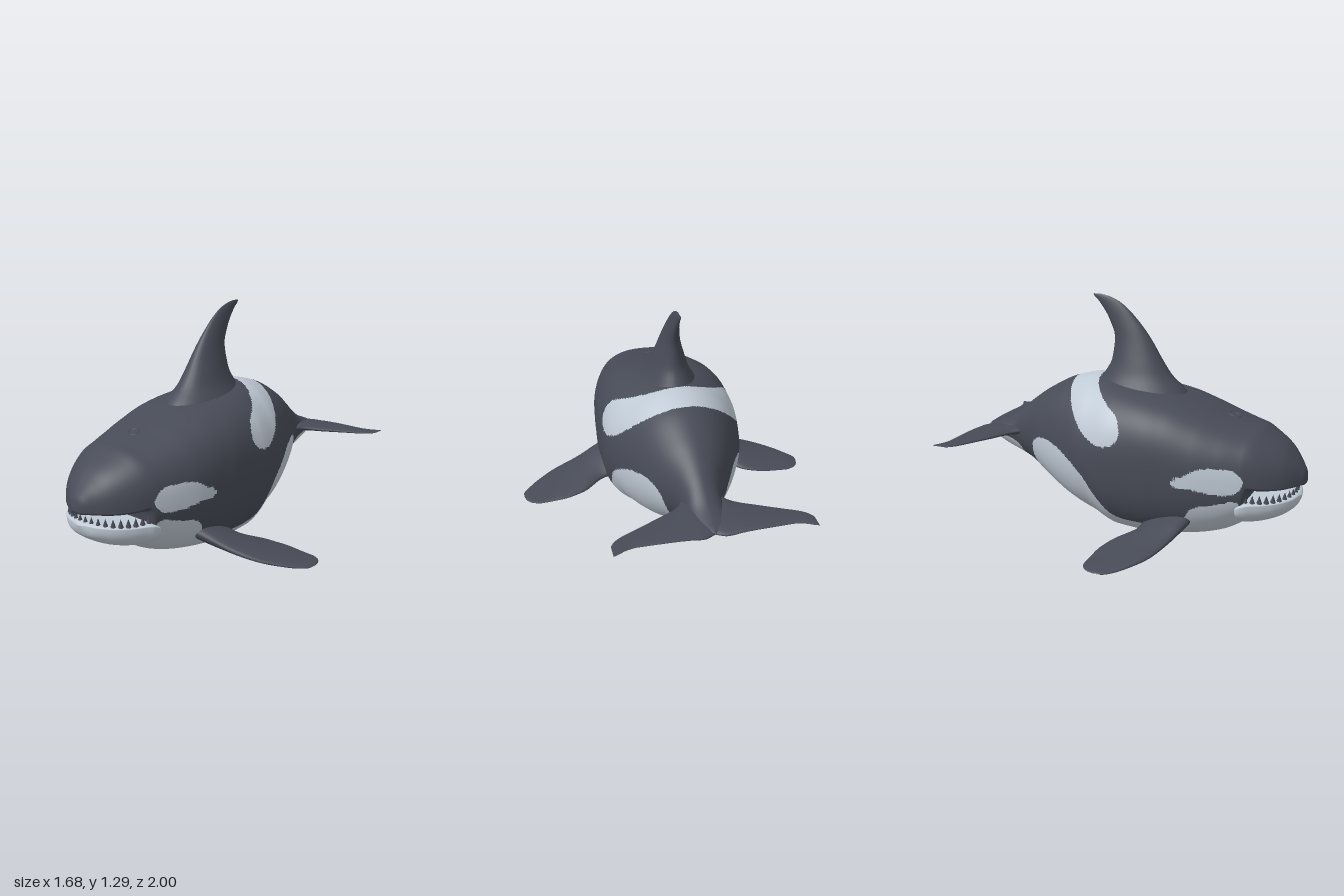
import * as THREE from 'three';

const dark = new THREE.MeshStandardMaterial({ color: 0x474b56 });
dark.name = 'dark skin';
const pale = new THREE.MeshStandardMaterial({ color: 0xbfc9d4 });
pale.name = 'pale skin';

// Smooth monotone interpolation through rows of [key, ...values]
function track(rows) {
  const r = rows[0][0] <= rows[rows.length - 1][0] ? rows : [...rows].reverse();
  const slope = (i, k) => (r[i + 1][k] - r[i][k]) / (r[i + 1][0] - r[i][0]);
  const tangent = (i, k) => {
    if (i === 0) return slope(0, k);
    if (i === r.length - 1) return slope(i - 1, k);
    const a = slope(i - 1, k), b = slope(i, k);
    return a * b <= 0 ? 0 : (2 * a * b) / (a + b);
  };
  return (s) => {
    let i = 0;
    while (i < r.length - 2 && s > r[i + 1][0]) i++;
    const h = r[i + 1][0] - r[i][0];
    const t = Math.min(1, Math.max(0, (s - r[i][0]) / h)), t2 = t * t, t3 = t2 * t;
    return r[i].slice(1).map((v, n) => {
      const k = n + 1;
      return (2 * t3 - 3 * t2 + 1) * v + (t3 - 2 * t2 + t) * h * tangent(i, k)
        + (3 * t2 - 2 * t3) * r[i + 1][k] + (t3 - t2) * h * tangent(i + 1, k);
    });
  };
}

// Skin of rings: ring(u) returns a function angle -> [x, y, z]; isPale(z, y) picks the colour
function skin(name, ring, nu, nv, materials, isPale = () => false) {
  const pos = [], lists = [[], []];
  for (let i = 0; i <= nu; i++) {
    const at = ring(i / nu);
    for (let j = 0; j < nv; j++) pos.push(...at((j / nv) * Math.PI * 2));
  }
  const tri = (...c) => {
    const mean = (k) => (pos[c[0] * 3 + k] + pos[c[1] * 3 + k] + pos[c[2] * 3 + k]) / 3;
    lists[isPale(mean(2), mean(1)) ? 1 : 0].push(...c);
  };
  for (let i = 0; i < nu; i++) for (let j = 0; j < nv; j++) {
    const a = i * nv + j, b = i * nv + (j + 1) % nv;
    tri(a, a + nv, b);
    tri(b, a + nv, b + nv);
  }
  const g = new THREE.BufferGeometry();
  g.setAttribute('position', new THREE.Float32BufferAttribute(pos, 3));
  g.setIndex([...lists[0], ...lists[1]]);
  g.addGroup(0, lists[0].length, 0);
  if (lists[1].length) g.addGroup(lists[0].length, lists[1].length, 1);
  g.computeVertexNormals();
  const mesh = new THREE.Mesh(g, materials);
  mesh.name = name;
  return mesh;
}

// Superellipse ring: half width, top, bottom, widest height, roundness (lower half never boxier than .82)
const power = (v, e) => Math.sign(v) * Math.abs(v) ** e;
const oval = (z, [w, top, bottom, mid, round]) => (a) => {
  const e = Math.sin(a) > 0 ? round : Math.max(.82, round);
  const s = power(Math.sin(a), e);
  return [w * power(Math.cos(a), e), mid + s * (s > 0 ? top - mid : mid - bottom), z];
};

// Closed smooth outline in side view (z, y), and a test for points inside it
function patch(points) {
  const v = points.map(([z, y]) => new THREE.Vector3(z, y, 0));
  const p = new THREE.CatmullRomCurve3(v, true).getPoints(80);
  return (z, y) => {
    let inside = false;
    for (let i = 0, j = p.length - 1; i < p.length; j = i++) {
      if ((p[i].y > y) !== (p[j].y > y)
        && z < ((p[j].x - p[i].x) * (y - p[i].y)) / (p[j].y - p[i].y) + p[i].x) inside = !inside;
    }
    return inside;
  };
}

const patches = [
  // eye patch
  [[.73, .42], [.69, .475], [.6, .49], [.5, .48], [.44, .445], [.37, .41], [.375, .385],
    [.48, .37], [.6, .35], [.69, .36]],
  // saddle behind the fin
  [[.07, .64], [.04, .7], [-.03, .745], [-.1, .79], [-.165, .85], [-.2, .95], [-.37, .95],
    [-.33, .825], [-.28, .74], [-.21, .65], [-.14, .585], [-.05, .545], [.03, .555], [.07, .6]],
  // throat, belly and flank
  [[.705, .31], [.6, .295], [.48, .265], [.44, .22], [.42, .17], [.3, .14], [.15, .125], [.03, .145],
    [-.07, .25], [-.15, .36], [-.26, .445], [-.37, .49], [-.48, .495], [-.54, .455], [-.555, .38],
    [-.535, .28], [-.5, .1], [-.2, -.2], [.5, -.2], [.75, -.05]],
  // underside of the tail
  [[-.665, .32], [-.69, .39], [-.77, .43], [-.87, .44], [-.84, .36], [-.75, .2], [-.67, .26]],
].map(patch);

// z, half width, top, bottom, widest height, roundness
const bodyAt = track([
  [1, 0, .38, .38, .38, .8], [.99, .045, .43, .362, .38, .8], [.97, .08, .465, .36, .38, .8],
  [.94, .128, .505, .357, .38, .8], [.89, .186, .56, .353, .38, .8], [.8, .253, .62, .35, .39, .8],
  [.745, .281, .65, .347, .4, .8], [.72, .293, .657, .16, .4, .8], [.7, .3, .662, .14, .4, .8],
  [.59, .333, .695, .075, .41, .8], [.46, .362, .74, .037, .41, .78], [.3, .38, .785, .01, .41, .72],
  [.19, .39, .805, 0, .41, .72], [0, .39, .835, .015, .41, .82], [-.17, .36, .857, .06, .43, 1],
  [-.33, .295, .825, .12, .45, 1], [-.5, .21, .74, .225, .47, 1], [-.62, .132, .655, .295, .475, 1],
  [-.7, .1, .59, .325, .47, 1.05], [-.79, .09, .525, .36, .463, 1.15],
  [-.88, .07, .488, .415, .463, 1.15], [-.94, 0, .464, .464, .464, 1.15],
]);
const jawAt = track([
  [.975, 0, .297, .297, .297, .8], [.96, .08, .312, .25, .297, .8], [.93, .14, .314, .22, .296, .8],
  [.88, .2, .31, .19, .295, .8], [.82, .246, .308, .168, .295, .8], [.77, .274, .31, .157, .295, .8],
  [.73, .293, .312, .153, .29, .8], [.7, .297, .3, .165, .275, .8], [.67, .25, .28, .22, .26, .8],
]);
// height, leading z, trailing z, half thickness
const finAt = track([
  [.72, .36, -.22, .21], [.8, .3, -.2, .155], [.86, .235, -.165, .117], [.94, .18, -.12, .088],
  [1.06, .108, -.105, .052], [1.16, .03, -.14, .03], [1.25, -.07, -.2, .013],
  [1.28, -.135, -.23, .006], [1.292, -.19, -.235, .001],
]);
// x, leading z, trailing z, height, half thickness, tilt
const flipperAt = track([
  [.2, .48, .19, .175, .06, .035], [.36, .447, .18, .135, .046, .03], [.5, .405, .09, .1, .031, .018],
  [.63, .362, .06, .08, .021, .01], [.75, .285, .06, .066, .015, .004], [.8, .24, .075, .062, .011, 0],
  [.83, .205, .11, .06, .007, 0], [.842, .185, .15, .06, .001, 0],
]);
const flukeAt = track([
  [0, -.6, -.935, .463, .03, .008], [.06, -.62, -.963, .464, .03, .008],
  [.1, -.655, -.962, .466, .026, .008], [.13, -.7, -.961, .466, .022, .004],
  [.26, -.77, -.96, .466, .015, 0], [.39, -.835, -.958, .466, .01, 0],
  [.445, -.862, -.97, .466, .008, 0], [.49, -.895, -.992, .466, .005, 0],
  [.51, -.925, -1, .466, .001, 0],
]);

// Sideways foil, used for flippers and flukes
function wing(name, at, x0, x1, side) {
  return skin(name, (u) => {
    const x = x0 + (x1 - x0) * Math.sin(u * Math.PI / 2);
    const [lead, trail, y, t, tilt] = at(x);
    return (a) => {
      const b = a * side, c = Math.cos(b);
      return [side * x, y + tilt * c + t * Math.sin(b) * (1 + .2 * c),
        (lead + trail) / 2 + c * (lead - trail) / 2];
    };
  }, 32, 28, [dark]);
}

export function createModel() {
  const model = new THREE.Group();
  model.name = 'whale';

  model.add(skin('body', (u) => {
    const z = 1 - 1.94 * (.65 * u + .35 * u * u);
    return oval(z, bodyAt(z));
  }, 290, 216, [dark, pale], (z, y) => patches.some((inside) => inside(z, y))));

  model.add(skin('lowerJaw', (u) => {
    const z = .975 - .305 * u;
    return oval(z, jawAt(z));
  }, 36, 48, [pale]));

  model.add(skin('dorsalFin', (u) => {
    const y = .72 + .572 * Math.sin(u * Math.PI / 2);
    const [lead, trail, t] = finAt(y);
    return (a) => [-t * Math.sin(a), y, (lead + trail) / 2 + Math.cos(a) * (lead - trail) / 2];
  }, 36, 32, [dark]));

  for (const side of [1, -1]) {
    const label = side > 0 ? 'left' : 'right';
    model.add(wing(label + 'Flipper', flipperAt, .2, .842, side));
    model.add(wing(label + 'Fluke', flukeAt, 0, .51, side));
  }

  // row of small teeth around the lower jaw
  const teeth = new THREE.Group();
  teeth.name = 'teeth';
  const toothShape = new THREE.ConeGeometry(.016, .045, 6);
  for (let i = 0; i < 20; i++) {
    const a = .1 + (i / 19) * (Math.PI - .2);
    const tooth = new THREE.Mesh(toothShape, dark);
    tooth.name = 'tooth';
    tooth.position.set(.25 * Math.cos(a), .322, .71 + .235 * Math.sin(a));
    teeth.add(tooth);
  }
  model.add(teeth);

  // low ridge around the blowhole
  const blowhole = new THREE.Mesh(new THREE.TorusGeometry(.03, .008, 8, 20), dark);
  blowhole.name = 'blowhole';
  blowhole.position.set(0, .69, .59);
  blowhole.rotation.x = -Math.PI / 2 + .33;
  model.add(blowhole);

  return model;
}
